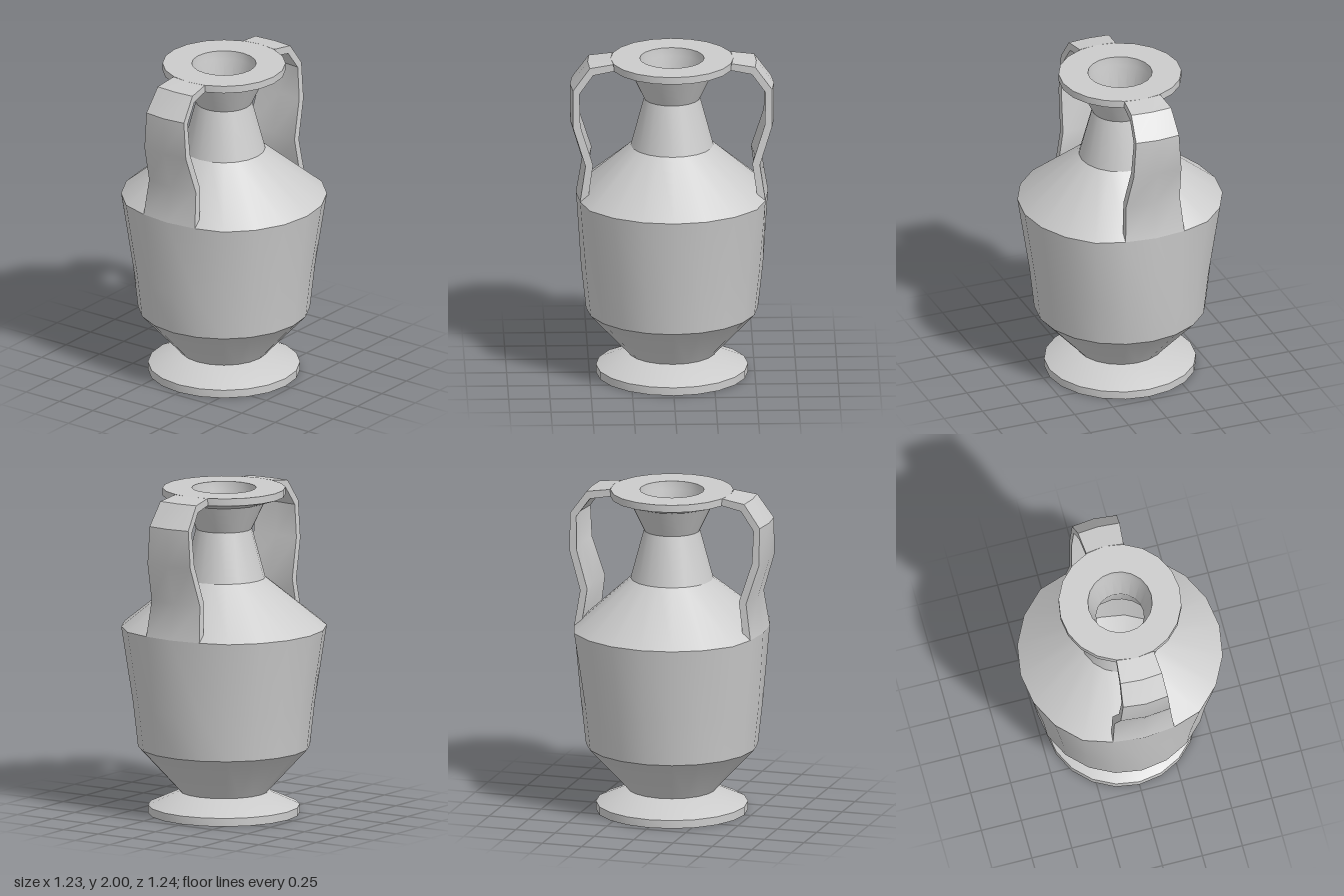
import * as THREE from 'three';
import { toCreasedNormals } from 'three/addons/utils/BufferGeometryUtils.js';

const SIDES = 20;
const material = new THREE.MeshStandardMaterial({ color: 0xcccccc });

function makeMesh(name, geometry, crease) {
  const mesh = new THREE.Mesh(toCreasedNormals(geometry, crease), material);
  mesh.name = name;
  return mesh;
}

function lathe(profile) {
  return new THREE.LatheGeometry(profile.map(([r, y]) => new THREE.Vector2(r, y)), SIDES);
}

// Hollow body: up the outside, over the lip and down the inside
function makeBody() {
  const geometry = lathe([
    [0.26, 0.12], [0.27, 0.14], [0.52, 0.41], [0.55, 0.68], [0.622, 1.15],
    [0.25, 1.45], [0.17, 1.75], [0.25, 1.915], [0.372, 1.955], [0.372, 2],
    [0.195, 2], [0.19, 1.95], [0.145, 1.75], [0.22, 1.45], [0.58, 1.14],
    [0.49, 0.43], [0.24, 0.17], [0, 0.17],
  ]);
  // The widest part is slightly flattened under the handles
  const p = geometry.attributes.position;
  for (let i = 0; i < p.count; i++) {
    const y = p.getY(i), x = p.getX(i);
    if (y > 1.1 && y < 1.2 && Math.abs(x) > 0.54) {
      const outer = Math.hypot(x, p.getZ(i)) > 0.6;
      const flat = Math.abs(p.getZ(i)) < 0.05 ? 0.58 : 0.56;
      p.setX(i, Math.sign(x) * (outer ? flat : flat - 0.035));
    }
  }
  return makeMesh('body', geometry, 0.55);
}

function makeFoot() {
  return makeMesh('foot', lathe([
    [0, 0], [0.46, 0], [0.46, 0.05], [0.27, 0.135], [0, 0.135],
  ]), 0.45);
}

// Strap handle: six-point sections [outer x, y, inner x, y, half width, edge setback]
function makeHandle(name, side) {
  const stations = [
    [0.372, 2, 0.366, 1.957, 0.117, 0.015],
    [0.51, 1.98, 0.49, 1.935, 0.13, 0.01],
    [0.617, 1.84, 0.578, 1.82, 0.14, 0.015],
    [0.617, 1.61, 0.573, 1.62, 0.155, 0.015],
    [0.545, 1.37, 0.5, 1.38, 0.175, 0.018],
    [0.582, 1.15, 0.535, 1.16, 0.192, 0.022],
  ];
  const positions = [];
  for (const [ox, oy, ix, iy, w, set] of stations) {
    for (const z of [-w, 0, w]) positions.push(side * (ox - (z ? set : 0)), oy, side * z);
    for (const z of [w, 0, -w]) positions.push(side * (ix - (z ? set : 0)), iy, side * z);
  }
  const index = [];
  const quad = (a, b, c, d) => index.push(a, c, b, a, d, c);
  for (let s = 0; s < stations.length - 1; s++) {
    for (let k = 0; k < 6; k++) {
      const a = s * 6 + k, b = s * 6 + (k + 1) % 6;
      quad(a, a + 6, b + 6, b);
    }
  }
  // End caps
  const e = (stations.length - 1) * 6;
  quad(0, 1, 4, 5);
  quad(1, 2, 3, 4);
  quad(e + 5, e + 4, e + 1, e);
  quad(e + 4, e + 3, e + 2, e + 1);

  const geometry = new THREE.BufferGeometry();
  geometry.setAttribute('position', new THREE.Float32BufferAttribute(positions, 3));
  geometry.setIndex(index);
  return makeMesh(name, geometry, 0.6);
}

export function createModel() {
  const group = new THREE.Group();
  group.name = 'vase';
  group.add(
    makeFoot(),
    makeBody(),
    makeHandle('leftHandle', 1),
    makeHandle('rightHandle', -1),
  );
  return group;
}
